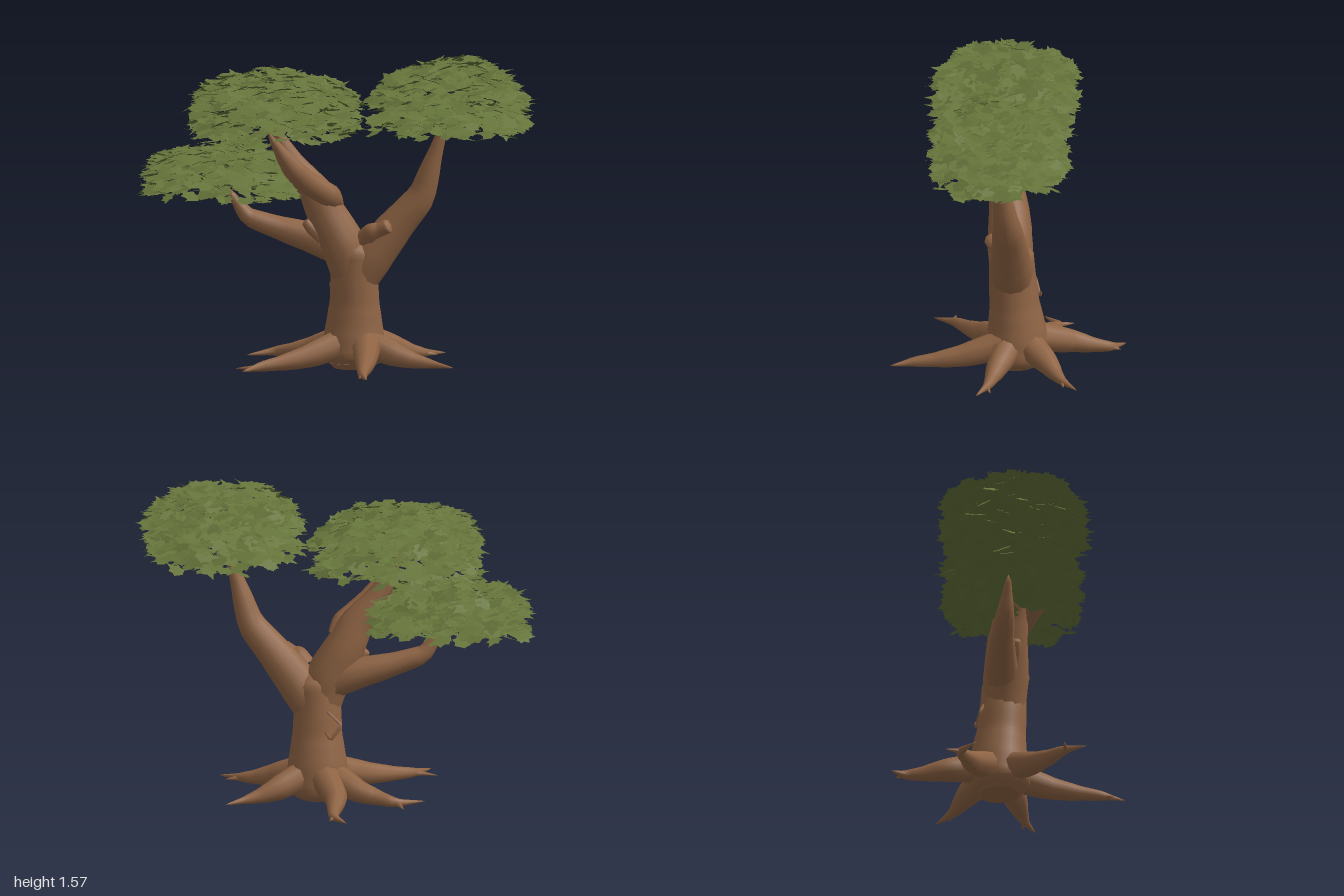
import * as THREE from 'three';
import { mergeGeometries, mergeVertices } from 'three/addons/utils/BufferGeometryUtils.js';

const bark = new THREE.MeshStandardMaterial({ color: 0x8f6444 });
bark.name = 'brown bark';
const foliage = new THREE.MeshStandardMaterial({ color: 0x65733a, side: THREE.DoubleSide });
foliage.name = 'green leaves';

// Small seeded random generator
let seed = 7;
function rand() {
  seed = (seed * 16807) % 2147483647;
  return seed / 2147483647;
}
const spread = (s) => (rand() * 2 - 1) * s;

// Tapered limb: each point is [x, y, z, radius]; a low tension gives sharper bends
function limb(name, pts, sides = 10, rings = 20, tension = 0.3) {
  const curve = new THREE.CatmullRomCurve3(
    pts.map((p) => new THREE.Vector3(p[0], p[1], p[2])), false, 'catmullrom', tension);
  const geo = new THREE.TubeGeometry(curve, rings, 1, sides);
  const pos = geo.attributes.position;
  const v = new THREE.Vector3();
  for (let i = 0; i <= rings; i++) {
    const u = i / rings;
    const centre = curve.getPointAt(u);
    const t = curve.getUtoTmapping(u) * (pts.length - 1);
    const k = Math.min(Math.floor(t), pts.length - 2);
    const r = THREE.MathUtils.lerp(pts[k][3], pts[k + 1][3], t - k);
    for (let j = 0; j <= sides; j++) {
      const n = i * (sides + 1) + j;
      v.fromBufferAttribute(pos, n).sub(centre).multiplyScalar(r).add(centre);
      pos.setXYZ(n, v.x, Math.max(v.y, 0.015), v.z);
    }
  }
  geo.deleteAttribute('uv');
  geo.deleteAttribute('normal');
  const smooth = mergeVertices(geo, 1e-5);
  smooth.computeVertexNormals();
  const mesh = new THREE.Mesh(smooth, bark);
  mesh.name = name;
  return mesh;
}

// Pointed, lobed leaf lying flat
function leafShape() {
  const half = [[0.012, -0.034], [0.036, -0.022], [0.027, -0.004], [0.034, 0.018], [0.014, 0.024]];
  const outline = [[0, -0.042], ...half, [0, 0.062],
    ...half.slice().reverse().map(([x, y]) => [-x, y])];
  const shape = new THREE.Shape(outline.map(([x, y]) => new THREE.Vector2(x, y)));
  return new THREE.ShapeGeometry(shape).rotateX(-Math.PI / 2);
}

// Uneven dome filled with scattered leaves, its rim drooping a little
function canopy(name, [cx, cy, cz], [rx, ry, rz], count, phase) {
  const leaf = leafShape();
  const leaves = [];
  const up = new THREE.Vector3(0, 1, 0);
  for (let i = 0; i < count; i++) {
    const a = rand() * Math.PI * 2;
    const rho = rand() ** 0.45;
    const c = Math.cos(a);
    const s = Math.sin(a);
    // Slightly squared plan with a wavy edge
    const plan = (Math.abs(c) ** 2.5 + Math.abs(s) ** 2.5) ** -0.4
      * (0.97 + 0.04 * Math.sin(3 * a + phase) + 0.03 * Math.sin(7 * a + 2 * phase));
    const x = c * rho * plan * rx;
    const z = s * rho * plan * rz;
    const bottom = 0.045 * (1 - rho * rho);
    const top = ry * Math.sqrt(1 - 0.8 * rho ** 3)
      * (0.95 + 0.07 * Math.sin(13 * x + phase) * Math.cos(11 * z + phase));
    const pick = rand();
    const f = pick < 0.42 ? 1 : pick < 0.54 ? 0 : rand();
    const normal = new THREE.Vector3(
      c * 0.2 * rho + spread(0.42), 1, s * 0.2 * rho + spread(0.42)).normalize();
    const q = new THREE.Quaternion().setFromUnitVectors(up, normal)
      .multiply(new THREE.Quaternion().setFromAxisAngle(up, rand() * Math.PI * 2));
    const p = new THREE.Vector3(
      cx + x, cy + THREE.MathUtils.lerp(bottom, top, f) + spread(0.02), cz + z);
    const size = 0.85 + rand() * 0.45;
    leaves.push(leaf.clone().applyMatrix4(
      new THREE.Matrix4().compose(p, q, new THREE.Vector3(size, size, size))));
  }
  const mesh = new THREE.Mesh(mergeGeometries(leaves), foliage);
  mesh.name = name;
  return mesh;
}

// Root given on the ground as [x, z]: start, middle, bend, tip and side toe
function root([sx, sz], [mx, mz], [bx, bz], [tx, tz], [ex, ez]) {
  const g = new THREE.Group();
  g.name = 'root';
  const nx = (mx + bx) / 2;
  const nz = (mz + bz) / 2;
  g.add(limb('rootBody', [
    [sx, 0.135, sz, 0.078], [mx, 0.08, mz, 0.058], [nx, 0.058, nz, 0.04],
    [bx, 0.045, bz, 0.023], [tx, 0.035, tz, 0]], 9));
  g.add(limb('rootToe', [
    [nx, 0.05, nz, 0.022], [bx, 0.042, bz, 0.018], [ex, 0.035, ez, 0]], 6, 8));
  return g;
}

export function createModel() {
  const tree = new THREE.Group();
  tree.name = 'tree';

  // Trunk, flaring at the foot
  tree.add(limb('trunk', [
    [0.08, 0.0, -0.05, 0.1], [0.08, 0.06, -0.055, 0.158], [0.082, 0.19, -0.055, 0.146],
    [0.085, 0.32, -0.045, 0.124], [0.086, 0.46, -0.035, 0.117],
    [0.1, 0.6, -0.03, 0.11], [0.11, 0.68, -0.03, 0]], 14, 28));
  const base = new THREE.Mesh(new THREE.CylinderGeometry(0.13, 0.1, 0.03, 14), bark);
  base.name = 'trunkBase';
  base.position.set(0.08, 0.018, -0.053);
  tree.add(base);

  // Main limbs
  tree.add(limb('leftLimb', [
    [0.09, 0.43, -0.035, 0.1], [0.17, 0.555, -0.035, 0.106], [0.29, 0.71, -0.035, 0.088],
    [0.415, 0.86, -0.03, 0.07], [0.47, 1.02, -0.015, 0.048],
    [0.54, 1.235, 0, 0.014], [0.545, 1.26, 0, 0]], 12));
  tree.add(limb('rightLimb', [
    [0.085, 0.43, -0.03, 0.1], [0.035, 0.61, -0.02, 0.113], [-0.045, 0.76, -0.01, 0.1],
    [-0.1, 0.88, 0.01, 0.084], [-0.19, 1.0, 0.03, 0.06],
    [-0.26, 1.12, 0.045, 0.038], [-0.295, 1.215, 0.05, 0.014], [-0.3, 1.24, 0.05, 0]], 12));
  tree.add(limb('frontBranch', [
    [0.02, 0.82, -0.01, 0.02], [-0.02, 0.86, 0.04, 0.06], [-0.12, 0.94, 0.12, 0.06],
    [-0.19, 1.02, 0.185, 0.052], [-0.24, 1.1, 0.22, 0.033],
    [-0.285, 1.18, 0.25, 0.012], [-0.295, 1.21, 0.255, 0]]));
  tree.add(limb('lowBranch', [
    [0.05, 0.57, -0.04, 0.08], [-0.1, 0.635, -0.04, 0.08], [-0.27, 0.685, -0.03, 0.06],
    [-0.43, 0.742, -0.01, 0.045], [-0.485, 0.81, 0, 0.029],
    [-0.54, 0.885, 0.01, 0.01], [-0.55, 0.9, 0.01, 0]]));

  // Broken stubs and a bent twig
  tree.add(limb('leftStub', [
    [0.14, 0.645, 0.0, 0.05], [0.19, 0.69, 0.035, 0.048], [0.22, 0.7, 0.045, 0.036],
    [0.27, 0.725, 0.055, 0.038], [0.28, 0.73, 0.057, 0]], 8));
  tree.add(limb('rightStub', [
    [-0.07, 0.66, 0.01, 0.045], [-0.12, 0.705, 0.03, 0.03],
    [-0.145, 0.735, 0.035, 0.022], [-0.15, 0.74, 0.035, 0]], 8));
  tree.add(limb('twig', [
    [0.02, 0.46, -0.13, 0.007], [-0.05, 0.4, -0.14, 0.009],
    [0.0, 0.33, -0.165, 0.009], [0.025, 0.37, -0.17, 0.004]], 5, 18, 0.05));

  // Roots fanning out around the trunk
  [
    [[0.15, 0.0], [0.175, 0.19], [0.2, 0.45], [0.235, 0.56], [0.185, 0.51]],
    [[0.13, -0.03], [0.3, 0.02], [0.48, 0.06], [0.6, 0.11], [0.56, 0.04]],
    [[0.13, -0.11], [0.26, -0.22], [0.39, -0.3], [0.49, -0.38], [0.46, -0.31]],
    [[0.04, -0.13], [-0.05, -0.31], [-0.075, -0.51], [-0.15, -0.58], [-0.06, -0.56]],
    [[0.03, -0.08], [-0.13, -0.17], [-0.34, -0.23], [-0.47, -0.15], [-0.39, -0.31]],
    [[0.04, -0.01], [-0.12, 0.12], [-0.34, 0.28], [-0.41, 0.39], [-0.46, 0.28]],
  ].forEach((r) => tree.add(root(...r)));

  // Leaf crowns
  tree.add(canopy('leftCrown', [0.56, 1.21, 0], [0.375, 0.32, 0.33], 1200, 0.6));
  tree.add(canopy('middleCrown', [-0.315, 1.175, 0.025], [0.41, 0.28, 0.345], 1200, 2.1));
  tree.add(canopy('lowCrown', [-0.55, 0.875, 0.035], [0.39, 0.215, 0.265], 1000, 4));
  return tree;
}
